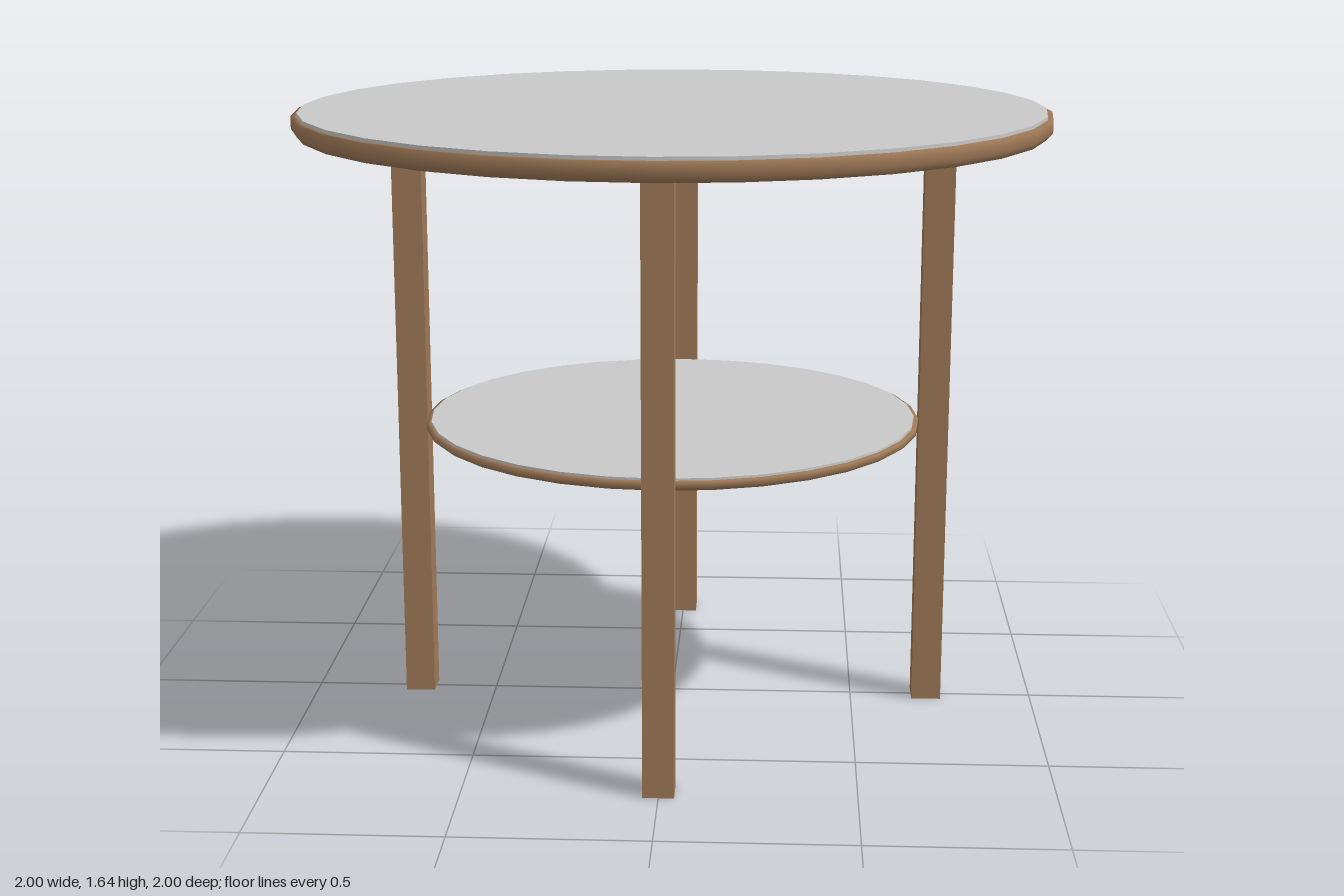
import * as THREE from 'three';

export function createModel() {
  const wood = new THREE.MeshStandardMaterial({ color: 0xa07a58 });
  wood.name = 'wood';
  const inlay = new THREE.MeshStandardMaterial({ color: 0xc8c8c8 });
  inlay.name = 'pale grey inlay';

  const table = new THREE.Group();
  table.name = 'roundTable';

  const add = (name, geometry, material, x, y, z) => {
    const mesh = new THREE.Mesh(geometry, material);
    mesh.name = name;
    mesh.position.set(x, y, z);
    table.add(mesh);
    return mesh;
  };

  // Round wooden board with a softened lower edge and an inlaid top
  const addBoard = (name, radius, bottom, thickness, lip, plate) => {
    const profile = [
      [0, 0], [radius - lip, 0], [radius, thickness * 0.35],
      [radius, thickness], [radius - lip, thickness], [0, thickness],
    ].map(([r, y]) => new THREE.Vector2(r, y));
    add(name, new THREE.LatheGeometry(profile, 32), wood, 0, bottom, 0);
    add(name + 'Inlay', new THREE.CylinderGeometry(radius - lip, radius - lip, plate, 32),
      inlay, 0, bottom + thickness + plate / 2, 0);
  };
  addBoard('tableTop', 1, 1.585, 0.05, 0.015, 0.009);
  addBoard('lowerShelf', 0.67, 0.775, 0.025, 0.012, 0.006);

  // Four square legs, one on each axis
  const legHeight = 1.59, legWidth = 0.08;
  const legGeometry = new THREE.BoxGeometry(legWidth, legHeight, legWidth);
  const legs = [['frontLeg', 0, 1], ['backLeg', 0, -1], ['leftLeg', 1, 0], ['rightLeg', -1, 0]];
  for (const [name, x, z] of legs) {
    add(name, legGeometry, wood, x * 0.71, legHeight / 2, z * 0.71);
  }

  return table;
}
